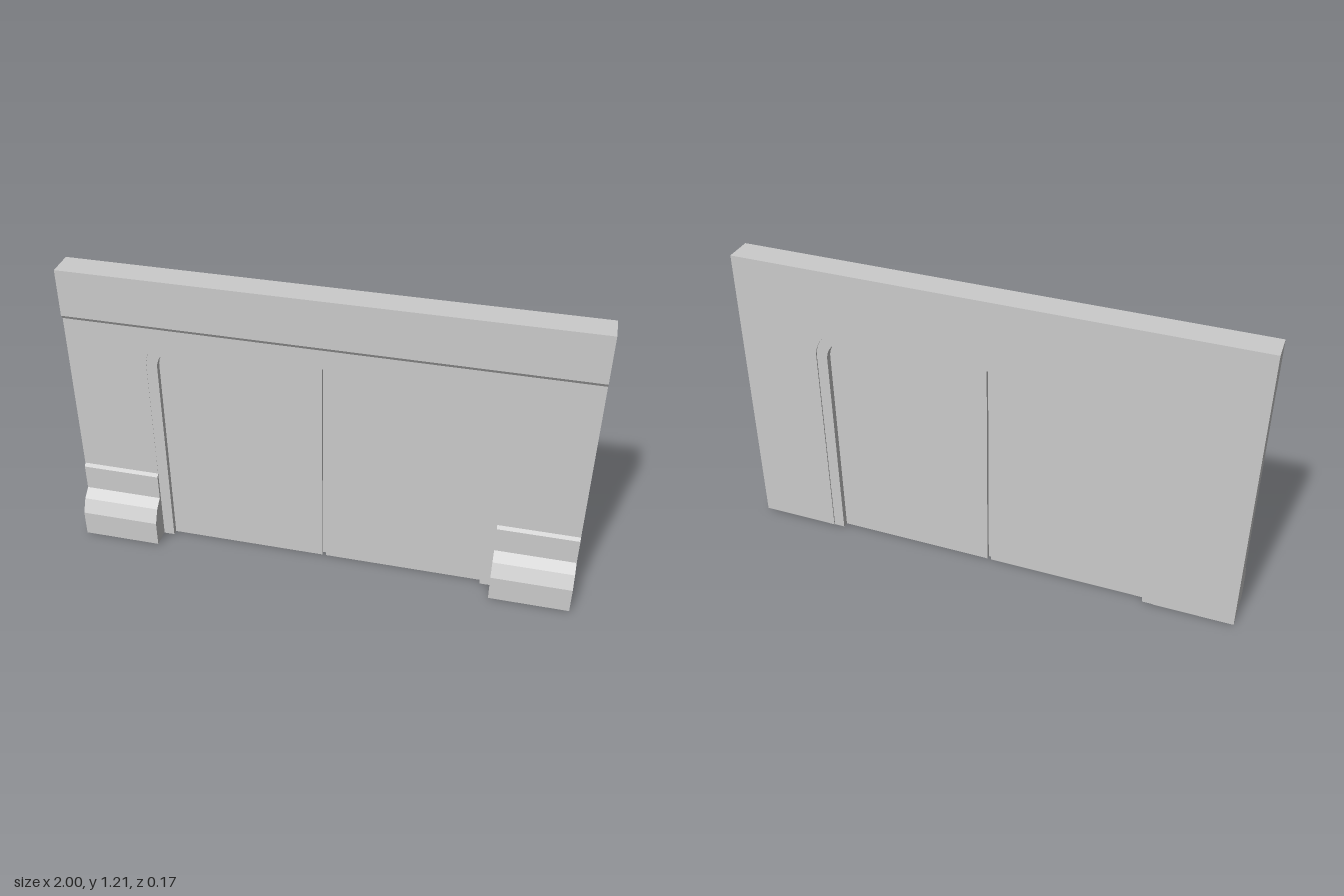
import * as THREE from 'three';

const material = new THREE.MeshStandardMaterial({ color: 0xcccccc });

// Traces an arch with rounded upper corners, from lower left to lower right
function traceArch(path, w, bottom, top, r) {
  path.lineTo(-w, bottom);
  path.lineTo(-w, top - r);
  path.absarc(-w + r, top - r, r, Math.PI, Math.PI / 2, true);
  path.lineTo(w - r, top);
  path.absarc(w - r, top - r, r, Math.PI / 2, 0, true);
  path.lineTo(w, bottom);
}

// Extrudes a front-facing shape between two depths
function slab(name, shape, back, front) {
  const geometry = new THREE.ExtrudeGeometry(shape, { depth: front - back, bevelEnabled: false, curveSegments: 8 });
  geometry.translate(0, 0, back);
  const mesh = new THREE.Mesh(geometry, material);
  mesh.name = name;
  return mesh;
}

// Sweeps a [z, y] profile along x
function moulding(name, profile, x0, x1) {
  const shape = new THREE.Shape(profile.map(([z, y]) => new THREE.Vector2(-z, y)));
  const geometry = new THREE.ExtrudeGeometry(shape, { depth: x1 - x0, bevelEnabled: false });
  geometry.rotateY(Math.PI / 2);
  geometry.translate(x0, 0, 0);
  const mesh = new THREE.Mesh(geometry, material);
  mesh.name = name;
  return mesh;
}

export function createModel() {
  const model = new THREE.Group();
  model.name = 'doorwayWall';
  const base = 0.005, height = 1.205;

  // Wall with an arched opening
  const wall = new THREE.Shape();
  wall.moveTo(-1, base);
  traceArch(wall, 0.685, base, 0.965, 0.13);
  wall.lineTo(1, base);
  wall.lineTo(1, height);
  wall.lineTo(-1, height);
  wall.closePath();
  model.add(slab('wall', wall, -0.085, 0.012));

  // Door frame lining the opening
  const frame = new THREE.Shape();
  frame.moveTo(-0.685, 0.002);
  traceArch(frame, 0.685, 0.002, 0.965, 0.13);
  frame.lineTo(0.642, 0.002);
  frame.lineTo(0.642, 0.83);
  frame.absarc(0.552, 0.83, 0.09, 0, Math.PI / 2, false);
  frame.lineTo(-0.552, 0.92);
  frame.absarc(-0.552, 0.83, 0.09, Math.PI / 2, Math.PI, false);
  frame.lineTo(-0.642, 0.002);
  model.add(slab('doorFrame', frame, -0.08, 0.011));

  // Raised band along the top
  model.add(moulding('topBand', [[0.012, 1], [0.022, 1.015], [0.022, height], [0.012, height]], -1, 1));

  // Door leaves and stepped plinths, mirrored
  const plinth = [[0.012, base], [0.088, base], [0.088, 0.113], [0.06, 0.168], [0.022, 0.198], [0.022, 0.305], [0.012, 0.318]];
  for (const [side, s] of [['left', 1], ['right', -1]]) {
    const leaf = new THREE.Shape();
    leaf.moveTo(s * 0.008, 0);
    leaf.lineTo(s * 0.642, 0);
    leaf.lineTo(s * 0.642, 0.83);
    leaf.absarc(s * 0.552, 0.83, 0.09, s > 0 ? 0 : Math.PI, Math.PI / 2, s < 0);
    leaf.lineTo(s * 0.008, 0.92);
    leaf.closePath();
    model.add(slab(side + 'Door', leaf, -0.055, -0.012));
    model.add(moulding(side + 'Plinth', plinth, s > 0 ? 0.685 : -1, s > 0 ? 1 : -0.685));
  }

  // Recessed strip closing the gap between the doors
  const strip = new THREE.Mesh(new THREE.BoxGeometry(0.016, 0.92, 0.012), material);
  strip.position.set(0, 0.46, -0.034);
  strip.name = 'doorSeam';
  model.add(strip);

  return model;
}
